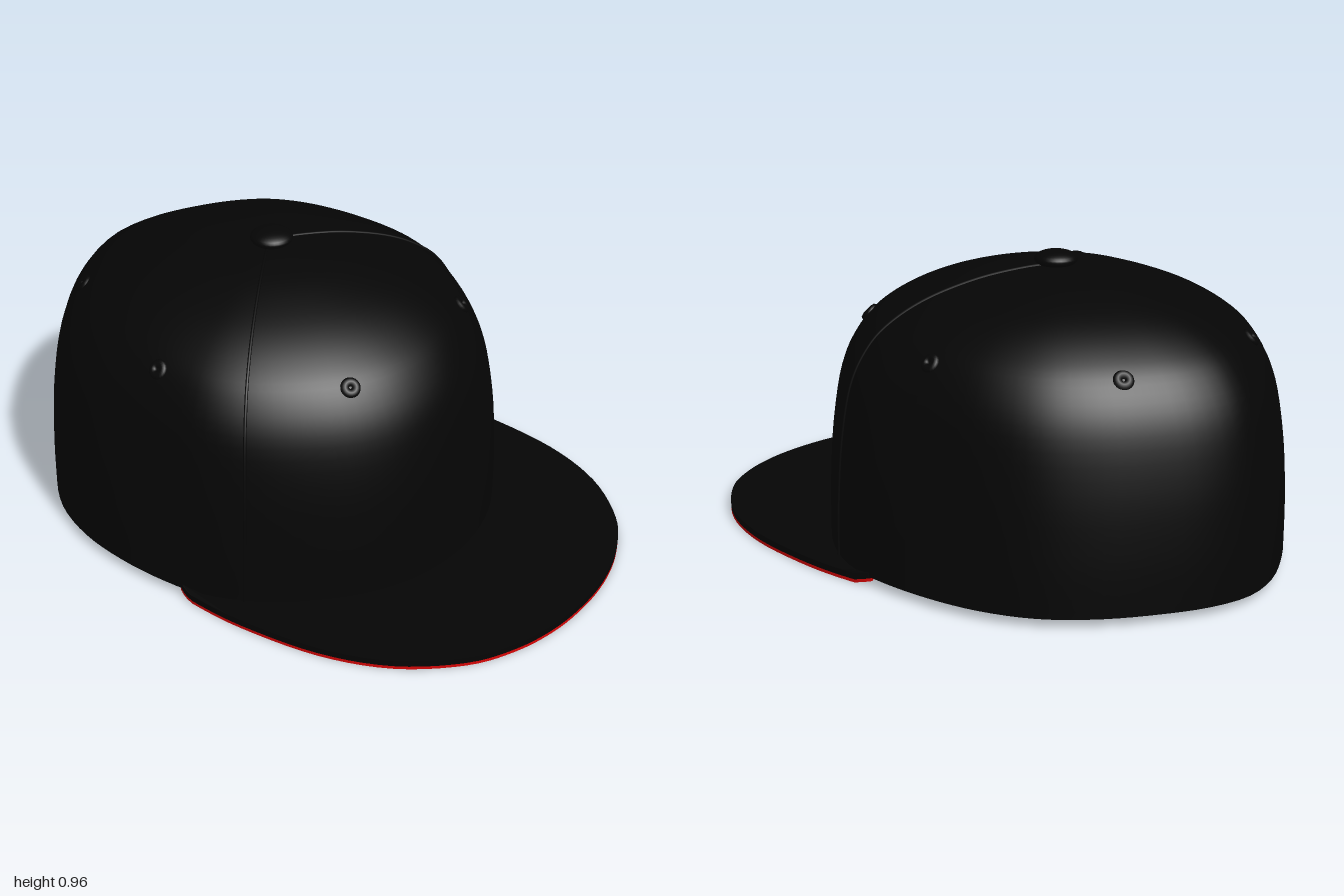
import * as THREE from 'three';

const CENTRE_Z = -0.21;
const V2 = (x, y) => new THREE.Vector2(x, y);

// Plan of the crown at its rim, right half from back to front, then mirrored
const half = [[0.15, -0.963], [0.3, -0.885], [0.45, -0.778], [0.57, -0.645], [0.645, -0.48], [0.68, -0.3],
  [0.687, -0.12], [0.672, 0.02], [0.615, 0.16], [0.505, 0.31], [0.365, 0.435], [0.2, 0.515]];
const plan = [[0, -0.995], ...half, [0, 0.545], ...half.map(([x, z]) => [-x, z]).reverse()];
const planCurve = new THREE.CatmullRomCurve3(plan.map(([x, z]) => new THREE.Vector3(x, 0, z)), true);
const rim = planCurve.getPoints(600).map(p => ({
  a: Math.atan2(p.z - CENTRE_Z, p.x), r: Math.hypot(p.x, p.z - CENTRE_Z),
})).sort((p, q) => p.a - q.a);

// Rim radius in direction a (0 = +x, PI/2 = front)
function rimRadius(a) {
  const w = Math.atan2(Math.sin(a), Math.cos(a));
  const i = rim.findIndex(p => p.a >= w);
  if (i <= 0) return rim[0].r;
  const p = rim[i - 1], q = rim[i];
  return p.r + (q.r - p.r) * (w - p.a) / Math.max(q.a - p.a, 1e-9);
}

// Crown profile: fraction of the rim radius against height
const profile = new THREE.SplineCurve([[0.997, 0.028], [1, 0.2], [0.985, 0.4], [0.94, 0.58], [0.855, 0.7],
  [0.745, 0.775], [0.58, 0.839], [0.36, 0.888], [0.15, 0.912], [0, 0.917]].map(p => V2(...p)));

function crownPoint(a, t, scale = 1) {
  const p = profile.getPoint(t), r = rimRadius(a) * p.x * scale;
  const pinch = 1 - 0.02 * Math.sin(Math.PI * p.y / 0.917);
  return new THREE.Vector3(Math.cos(a) * r * pinch, p.y, CENTRE_Z + Math.sin(a) * r);
}

function heightToT(y) {
  let t = 0;
  while (t < 1 && profile.getPoint(t).y < y) t += 0.002;
  return t;
}

// Grid surface from pointAt(u, v), u and v from 0 to 1
function surface(cols, rows, pointAt) {
  const pos = [], idx = [], w = cols + 1;
  for (let j = 0; j <= rows; j++) {
    for (let i = 0; i <= cols; i++) pos.push(...pointAt(i / cols, j / rows).toArray());
  }
  for (let j = 0; j < rows; j++) {
    for (let i = 0; i < cols; i++) {
      const a = j * w + i, b = a + 1, c = a + w, d = c + 1;
      idx.push(a, c, b, b, c, d);
    }
  }
  const g = new THREE.BufferGeometry();
  g.setAttribute('position', new THREE.Float32BufferAttribute(pos, 3));
  g.setIndex(idx);
  g.computeVertexNormals();
  return g;
}

// Angles where the brim meets the crown
const TIP = Math.atan2(-0.05 - CENTRE_Z, 0.68);
const brimAngle = u => Math.PI - TIP + (2 * TIP - Math.PI) * u;

// Crescent brim layer: outer curve forward, inner edge along the crown
function brimLayer(y, depth, inset) {
  const right = [[0.675, -0.06], [0.695, 0.0], [0.703, 0.2], [0.672, 0.47], [0.588, 0.69], [0.445, 0.86],
    [0.3, 0.945], [0.15, 0.988]];
  const outer = new THREE.SplineCurve([...right, [0, 1], ...right.map(([x, z]) => [-x, z]).reverse()]
    .map(([x, z]) => V2(x, -z))).getPoints(80);
  const inner = [];
  for (let i = 0; i <= 60; i++) {
    const a = brimAngle(i / 60), r = rimRadius(a) * inset;
    inner.push(V2(Math.cos(a) * r, -(CENTRE_Z + Math.sin(a) * r)));
  }
  const g = new THREE.ExtrudeGeometry(new THREE.Shape([...outer, ...inner]), { depth, bevelEnabled: false });
  g.rotateX(-Math.PI / 2);
  g.translate(0, y, 0);
  // Tips curl up towards the crown
  const p = g.attributes.position;
  for (let i = 0; i < p.count; i++) if (p.getZ(i) < 0) p.setY(i, p.getY(i) - p.getZ(i) * 0.25);
  g.computeVertexNormals();
  return g;
}

export function createModel() {
  const cap = new THREE.Group();
  cap.name = 'cap';
  const black = new THREE.MeshStandardMaterial({ color: 0x050505, side: THREE.DoubleSide });
  black.name = 'black cloth';
  const red = new THREE.MeshStandardMaterial({ color: 0xd80606, side: THREE.DoubleSide });
  red.name = 'red underbrim';
  const add = (name, geometry, material) => {
    const m = new THREE.Mesh(geometry, material);
    m.name = name;
    cap.add(m);
    return m;
  };

  const bandTop = heightToT(0.14);
  add('crown', surface(96, 40, (u, v) => crownPoint(u * Math.PI * 2, v)), black);
  add('sweatband', surface(96, 4, (u, v) => crownPoint(u * Math.PI * 2, v * bandTop, 0.985)), black);

  add('brimTop', brimLayer(0.01, 0.02, 0.985), black);
  add('brimUnderside', brimLayer(0, 0.01, 0.975), red);

  // Underbrim lining turned up inside the crown
  add('brimLip', surface(60, 3, (u, v) => {
    const a = brimAngle(u), r = rimRadius(a) * (0.975 - 0.012 * v);
    const z = CENTRE_Z + Math.sin(a) * r;
    const rise = 0.012 + 0.03 * Math.sin(Math.PI * u);
    return new THREE.Vector3(Math.cos(a) * r, v * rise + Math.max(0, -z) * 0.25, z);
  }), red);

  // Raised seams either side of the front panel
  for (const a of [Math.PI / 6, Math.PI * 5 / 6]) {
    const pts = [];
    for (let i = 0; i <= 40; i++) pts.push(crownPoint(a, i / 40 * 0.98, 1.002));
    add('frontSeam', new THREE.TubeGeometry(new THREE.CatmullRomCurve3(pts), 80, 0.005, 8), black);
  }

  // One stitched eyelet in the middle of each panel
  const t = heightToT(0.72);
  for (let k = 0; k < 6; k++) {
    const a = k * Math.PI / 3, p = crownPoint(a, t);
    const up = crownPoint(a, t + 0.02).sub(p), across = crownPoint(a + 0.03, t).sub(p);
    const normal = up.cross(across).normalize();
    if (normal.y < 0) normal.negate();
    const eyelet = add('eyelet', new THREE.TorusGeometry(0.018, 0.014, 8, 20), black);
    eyelet.scale.z = 0.7;
    eyelet.position.copy(p);
    eyelet.quaternion.setFromUnitVectors(new THREE.Vector3(0, 0, 1), normal);
  }

  // Button on top
  const button = add('topButton', new THREE.SphereGeometry(0.068, 32, 16), black);
  button.scale.y = 0.4;
  button.position.set(0, 0.932, -0.2);
  return cap;
}
